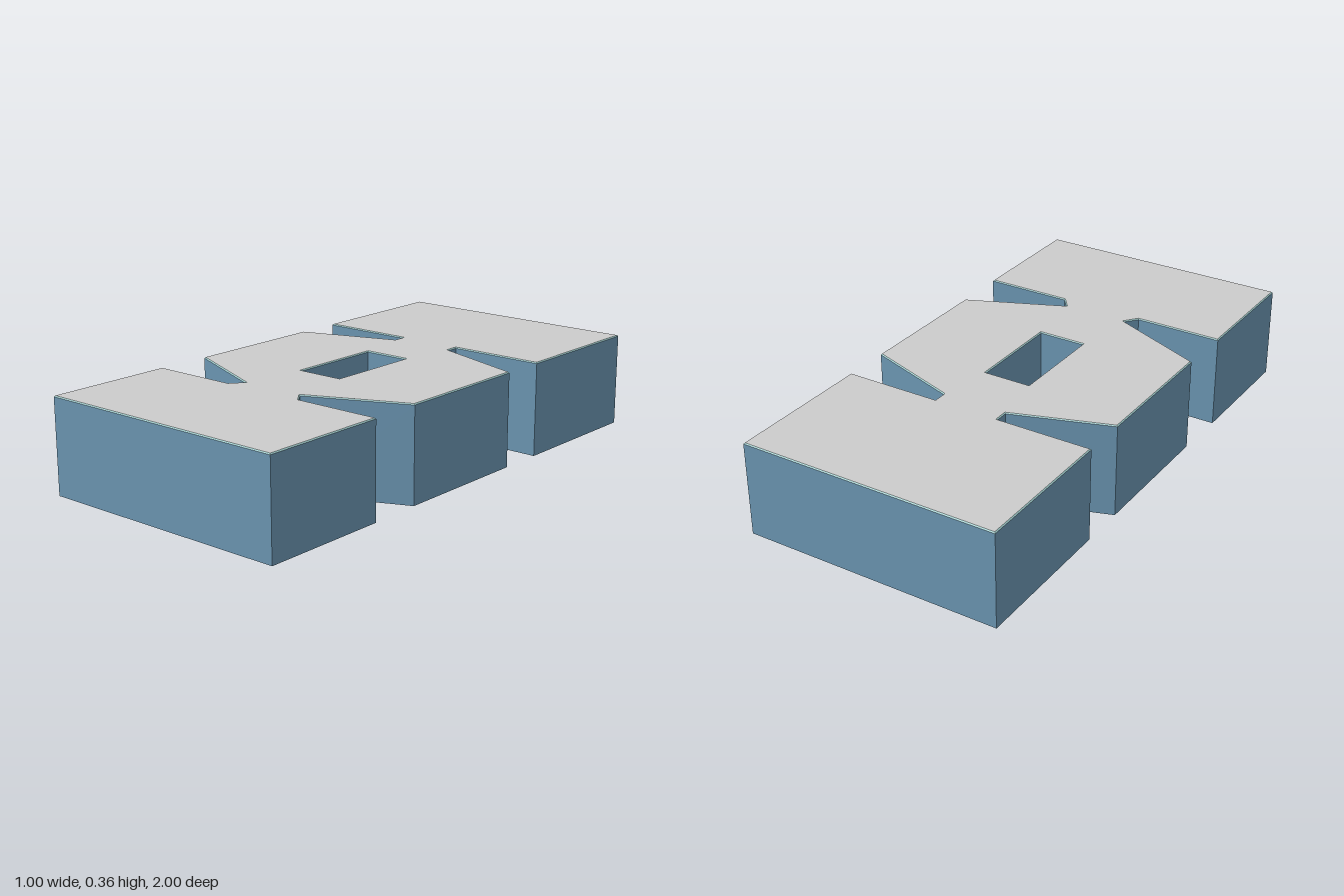
import * as THREE from 'three';

const WALL_TOP = 0.354, TOP = 0.358, INSET = 0.004;

// Half outline (x, z) from front to back; mirrored for the other side
const half = [
  [0.5, 1], [0.5, 0.505], [0.165, 0.505], [0.128, 0.458], [0.495, 0.298],
  [0.495, -0.25], [0.128, -0.375], [0.128, -0.425], [0.495, -0.425], [0.495, -1],
];
const outline = [...half, ...half.map(([x, z]) => [-x, z]).reverse()];
// Central opening, wound the other way round
const opening = [[-0.09, 0.21], [-0.09, -0.165], [0.09, -0.165], [0.09, 0.21]];

// Move every edge of a loop towards the solid by d, with mitred corners
function inset(loop, d) {
  const n = loop.length;
  const normal = (a, b) => {
    const dx = b[0] - a[0], dz = b[1] - a[1], l = Math.hypot(dx, dz);
    return [dz / l, -dx / l];
  };
  return loop.map((p, i) => {
    const a = normal(loop[(i + n - 1) % n], p);
    const b = normal(p, loop[(i + 1) % n]);
    const k = d / (1 + a[0] * b[0] + a[1] * b[1]);
    return [p[0] + (a[0] + b[0]) * k, p[1] + (a[1] + b[1]) * k];
  });
}

// Flat-faced strip joining two matching loops at two heights
function band(lower, y0, upper, y1) {
  const pos = [];
  lower.forEach((a, i) => {
    const j = (i + 1) % lower.length;
    const b = lower[j], c = upper[j], d = upper[i];
    pos.push(a[0], y0, a[1], b[0], y0, b[1], c[0], y1, c[1]);
    pos.push(a[0], y0, a[1], c[0], y1, c[1], d[0], y1, d[1]);
  });
  const g = new THREE.BufferGeometry();
  g.setAttribute('position', new THREE.Float32BufferAttribute(pos, 3));
  g.computeVertexNormals();
  return g;
}

export function createModel() {
  const model = new THREE.Group();
  const material = (color) => new THREE.MeshStandardMaterial({ color, side: THREE.DoubleSide });
  const grey = material(0xcccccc), blue = material(0x6a94b0), teal = material(0xa5d2d2);
  const add = (name, geometry, mat) => {
    const mesh = new THREE.Mesh(geometry, mat);
    mesh.name = name;
    model.add(mesh);
  };

  // Upright walls (open underneath) and the fine chamfer along their top edge
  for (const [name, loop] of [['outer', outline], ['opening', opening]]) {
    add(name + 'Walls', band(loop, 0, loop, WALL_TOP), blue);
    add(name + 'Rim', band(loop, WALL_TOP, inset(loop, INSET), TOP), teal);
  }

  // Top plate with the rectangular opening
  const points = (loop) => inset(loop, INSET).map(([x, z]) => new THREE.Vector2(x, -z));
  const shape = new THREE.Shape(points(outline));
  shape.holes.push(new THREE.Path(points(opening)));
  add('topPlate', new THREE.ShapeGeometry(shape).rotateX(-Math.PI / 2).translate(0, TOP, 0), grey);

  return model;
}
